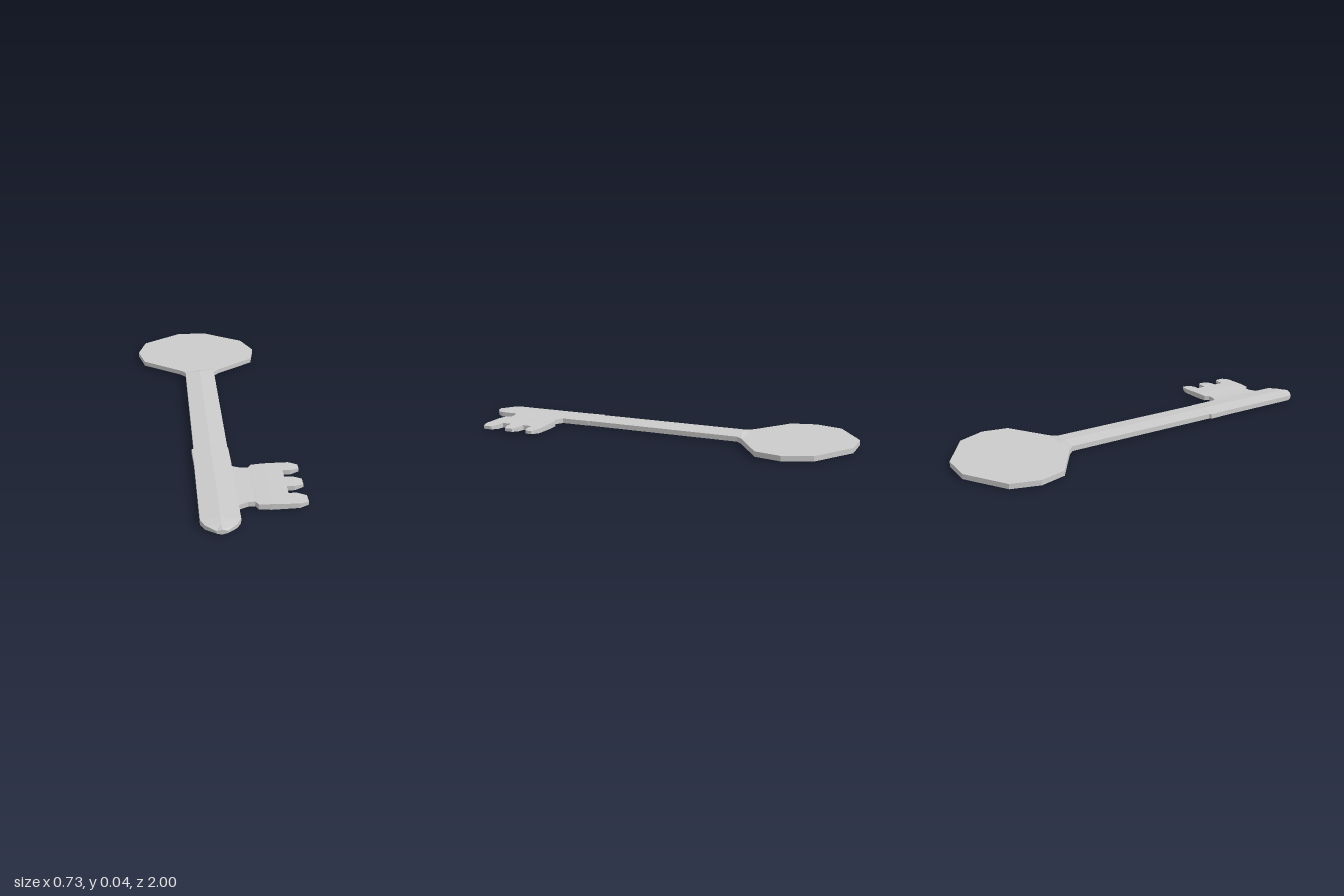
import * as THREE from 'three';

const material = new THREE.MeshStandardMaterial({ color: 0xcccccc, flatShading: true });
const MID = 0.023; // height of the key's middle plane

// Closed solid through cross-sections, each counter-clockwise seen from the last one's end
function loft(name, rings) {
  const n = rings[0].length;
  const index = [];
  for (let r = 0; r < rings.length - 1; r++) {
    for (let i = 0; i < n; i++) {
      const j = (i + 1) % n;
      const a = r * n + i, b = r * n + j;
      index.push(a, b, b + n, a, b + n, a + n);
    }
  }
  const end = (rings.length - 1) * n;
  for (let i = 1; i < n - 1; i++) {
    index.push(0, i + 1, i, end, end + i, end + i + 1);
  }
  const geometry = new THREE.BufferGeometry();
  geometry.setAttribute('position', new THREE.Float32BufferAttribute(rings.flat(2), 3));
  geometry.setIndex(index);
  geometry.computeVertexNormals();
  const mesh = new THREE.Mesh(geometry, material);
  mesh.name = name;
  return mesh;
}

// Shaft section: a flat hexagon with a ridge above and below
const shaftRing = ([z, x0, x1, edge, ridge]) => {
  const xm = (x0 + x1) / 2;
  return [
    [x1, MID - edge, z], [x1, MID + edge, z], [xm, MID + ridge, z],
    [x0, MID + edge, z], [x0, MID - edge, z], [xm, MID - ridge, z],
  ];
};

// Bit section: a rectangle across z at a given x
const bitRing = ([x, z0, z1, h]) => [
  [x, MID - h, z0], [x, MID + h, z0], [x, MID + h, z1], [x, MID - h, z1],
];

export function createModel() {
  const key = new THREE.Group();
  key.name = 'key';

  // Flat polygonal bow
  const outline = [
    [-0.12, -1], [0.04, -1], [0.255, -0.87], [0.313, -0.735], [0.288, -0.607],
    [0.087, -0.475], [-0.13, -0.475], [-0.33, -0.607], [-0.365, -0.735], [-0.325, -0.87],
  ];
  const shape = new THREE.Shape(outline.map(([x, z]) => new THREE.Vector2(x, z)));
  const bowGeometry = new THREE.ExtrudeGeometry(shape, { depth: 0.025, bevelEnabled: false });
  bowGeometry.rotateX(Math.PI / 2).translate(0, MID + 0.0125, 0);
  const bow = new THREE.Mesh(bowGeometry, material);
  bow.name = 'bow';
  key.add(bow);

  // Neck, shaft and rounded tip: z, left edge, right edge, edge and ridge half heights
  key.add(loft('shaft', [
    [-0.475, -0.13, 0.087, 0.0125, 0.0125],
    [-0.445, -0.10, 0.06, 0.0125, 0.019],
    [0.375, -0.10, 0.06, 0.0125, 0.019],
    [0.38, -0.11, 0.063, 0.0125, 0.02],
    [0.49, -0.105, 0.065, 0.0125, 0.02],
    [0.93, -0.105, 0.065, 0.0125, 0.02],
    [0.965, -0.087, 0.045, 0.0105, 0.0175],
    [1.0, -0.043, 0.003, 0.006, 0.0125],
  ].map(shaftRing)));

  // Bit plate with a notch beside the shaft: x, z range, half height
  const bit = new THREE.Group();
  bit.name = 'bit';
  bit.add(loft('bitPlate', [
    [0.04, 0.53, 0.845, 0.0125],
    [0.065, 0.537, 0.838, 0.0125],
    [0.105, 0.553, 0.82, 0.012],
    [0.137, 0.553, 0.818, 0.012],
    [0.15, 0.532, 0.841, 0.0125],
    [0.205, 0.528, 0.845, 0.0145],
    [0.288, 0.523, 0.845, 0.0125],
  ].map(bitRing)));

  // Three teeth with tapered ends
  for (const [z0, z1] of [[0.522, 0.588], [0.638, 0.713], [0.765, 0.845]]) {
    bit.add(loft('tooth', [
      [0.287, z0, z1, 0.0125],
      [0.325, z0, z1, 0.0115],
      [0.365, z0 + 0.016, z1 - 0.016, 0.008],
    ].map(bitRing)));
  }
  key.add(bit);

  return key;
}
